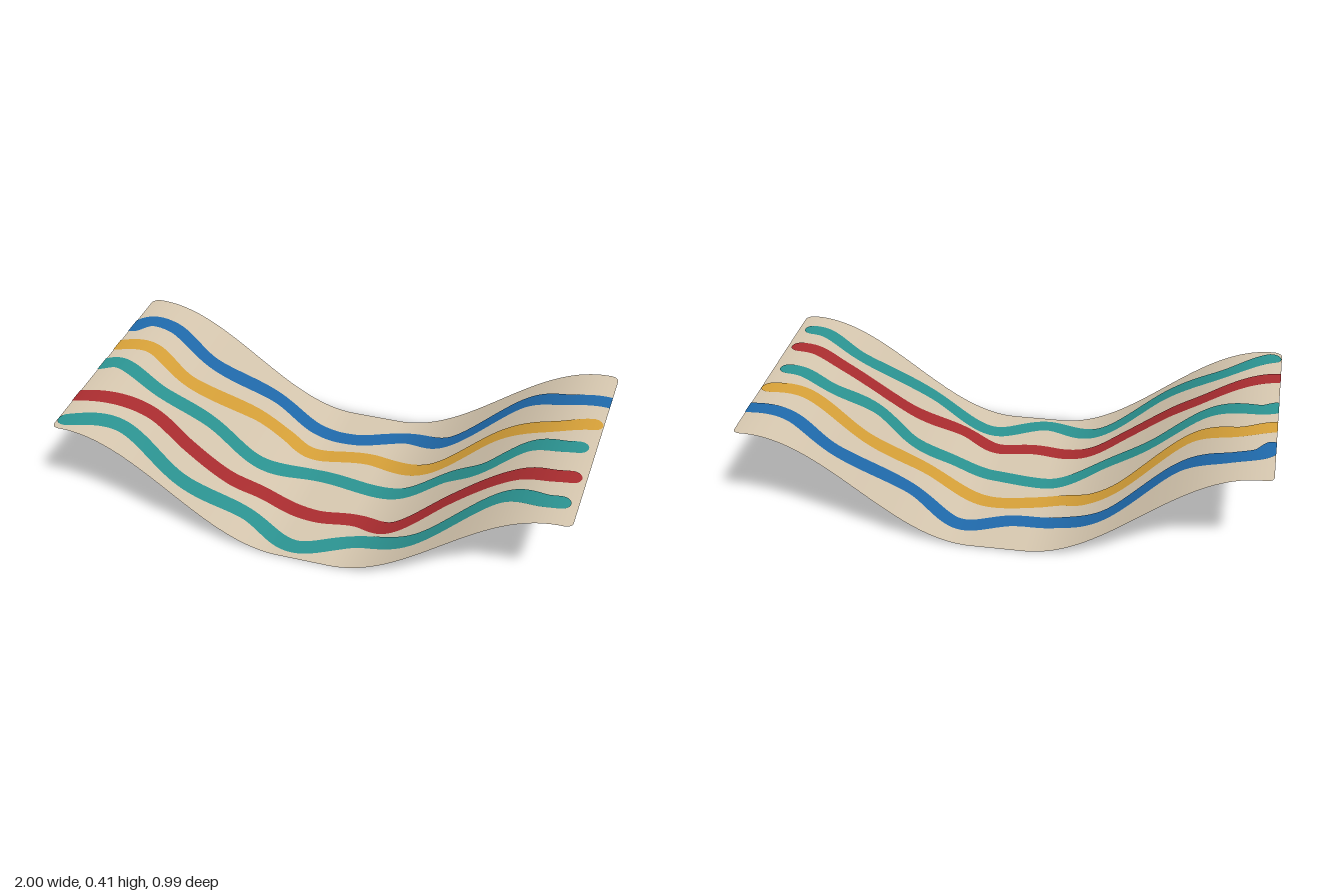
import * as THREE from 'three';

const OFFSET = 0.003; // painted stripes sit this far off the sheet
const BASE = 0.003, RISE = 0.405, FLAT = 0.1, SPAN = 0.86;

const flat = (name, color) => {
  const m = new THREE.MeshStandardMaterial({ color, side: THREE.DoubleSide });
  m.name = name;
  return m;
};

// Wave profile: flat valley in the middle, cosine rise to both ends
function profile(x) {
  const t = Math.max(0, (Math.abs(x) - FLAT) / SPAN) * Math.PI;
  const slope = Math.sign(x) * (RISE / 2) * (Math.PI / SPAN) * Math.sin(t);
  return {
    y: BASE + (RISE / 2) * (1 - Math.cos(t)),
    normal: new THREE.Vector3(-slope, 1, 0).normalize(),
  };
}

// Skins rows of plan-view edge pairs [back, front] draped over the wave
function drape(rows, across, offset) {
  const pos = [], nor = [], idx = [];
  for (const [a, b] of rows) {
    for (let j = 0; j <= across; j++) {
      const p = a.clone().lerp(b, j / across);
      const x = THREE.MathUtils.clamp(p.x, -1, 1);
      const { y, normal: n } = profile(x);
      pos.push(x + n.x * offset, y + n.y * offset, p.y);
      nor.push(n.x, n.y, n.z);
    }
  }
  const w = across + 1;
  for (let i = 0; i < rows.length - 1; i++) {
    for (let j = 0; j < across; j++) {
      const k = i * w + j;
      idx.push(k, k + 1, k + w, k + 1, k + w + 1, k + w);
    }
  }
  const g = new THREE.BufferGeometry();
  g.setAttribute('position', new THREE.Float32BufferAttribute(pos, 3));
  g.setAttribute('normal', new THREE.Float32BufferAttribute(nor, 3));
  g.setIndex(idx);
  return g;
}

// Rectangular sheet outline with rounded corners
function sheetRows() {
  const half = 0.495, r = 0.03, xs = [], rows = [];
  for (let i = 0; i <= 8; i++) xs.push(-1 + r * (1 - Math.cos((i / 8) * Math.PI / 2)));
  for (let i = 1; i < 120; i++) xs.push(-1 + r + (i / 120) * 2 * (1 - r));
  for (let i = 8; i >= 0; i--) xs.push(1 - r * (1 - Math.cos((i / 8) * Math.PI / 2)));
  for (const x of xs) {
    const d = Math.max(0, r - (1 - Math.abs(x)));
    const w = half - r + Math.sqrt(Math.max(0, r * r - d * d));
    rows.push([new THREE.Vector2(x, -w), new THREE.Vector2(x, w)]);
  }
  return rows;
}

// Wavy band of constant width with rounded ends
function stripeRows(points) {
  const half = 0.037, caps = 8, steps = 160, rows = [];
  const curve = new THREE.CatmullRomCurve3(points.map(([x, z]) => new THREE.Vector3(x, 0, z)));
  const add = (u, ahead, width) => {
    const p = curve.getPointAt(u), t = curve.getTangentAt(u);
    const c = new THREE.Vector2(p.x + t.x * ahead, p.z + t.z * ahead);
    const side = new THREE.Vector2(-t.z, t.x).multiplyScalar(width);
    rows.push([c.clone().sub(side), c.clone().add(side)]);
  };
  for (let i = 0; i < caps; i++) {
    const a = (i / caps) * Math.PI / 2;
    add(0, -half * Math.cos(a), half * Math.sin(a));
  }
  for (let i = 0; i <= steps; i++) add(i / steps, 0, half);
  for (let i = caps - 1; i >= 0; i--) {
    const a = (i / caps) * Math.PI / 2;
    add(1, half * Math.cos(a), half * Math.sin(a));
  }
  return rows;
}

export function createModel() {
  const model = new THREE.Group();
  model.name = 'wavyStripedSheet';

  const cream = flat('cream', 0xd6c7af);
  const blue = flat('blue', 0x1f69aa);
  const yellow = flat('ochre', 0xd6a038);
  const teal = flat('teal', 0x2b9391);
  const red = flat('red', 0xa92c2f);

  const sheet = new THREE.Mesh(drape(sheetRows(), 8, 0), cream);
  sheet.name = 'sheet';
  model.add(sheet);

  // Stripe centre lines in plan, as [x, z]
  const stripes = [
    ['blueStripe', blue, [[-0.99, -0.26], [-0.94, -0.32], [-0.84, -0.33], [-0.65, -0.27], [-0.39, -0.355],
      [-0.2, -0.31], [-0.03, -0.305], [0.17, -0.37], [0.37, -0.29], [0.66, -0.365], [0.84, -0.305], [1, -0.305]]],
    ['ochreStripe', yellow, [[-1, -0.11], [-0.87, -0.15], [-0.68, -0.085], [-0.41, -0.19], [-0.3, -0.185],
      [-0.19, -0.15], [0.07, -0.19], [0.34, -0.115], [0.59, -0.175], [0.83, -0.12], [0.96, -0.14]]],
    ['middleTealStripe', teal, [[-1, 0.04], [-0.94, 0.01], [-0.74, 0.065], [-0.53, 0.03], [-0.34, 0.05],
      [-0.13, -0.02], [0.11, 0.005], [0.27, 0.03], [0.43, 0], [0.58, 0.04], [0.75, -0.01], [0.88, 0.02], [0.935, 0.02]]],
    ['redStripe', red, [[-1, 0.275], [-0.72, 0.2], [-0.56, 0.225], [-0.4, 0.225], [-0.26, 0.195],
      [-0.03, 0.23], [0.13, 0.21], [0.28, 0.26], [0.49, 0.185], [0.75, 0.175], [0.88, 0.21], [0.945, 0.21]]],
    ['frontTealStripe', teal, [[-0.96, 0.435], [-0.78, 0.355], [-0.53, 0.405], [-0.28, 0.345], [-0.05, 0.43],
      [0.17, 0.34], [0.42, 0.385], [0.72, 0.305], [0.88, 0.365], [0.935, 0.368]]],
  ];

  // Each stripe shows on the upper and lower faces
  for (const [name, material, points] of stripes) {
    const stripe = new THREE.Group();
    stripe.name = name;
    const rows = stripeRows(points);
    for (const [face, offset] of [['Top', OFFSET], ['Underside', -OFFSET]]) {
      const mesh = new THREE.Mesh(drape(rows, 4, offset), material);
      mesh.name = name + face;
      stripe.add(mesh);
    }
    model.add(stripe);
  }
  return model;
}
